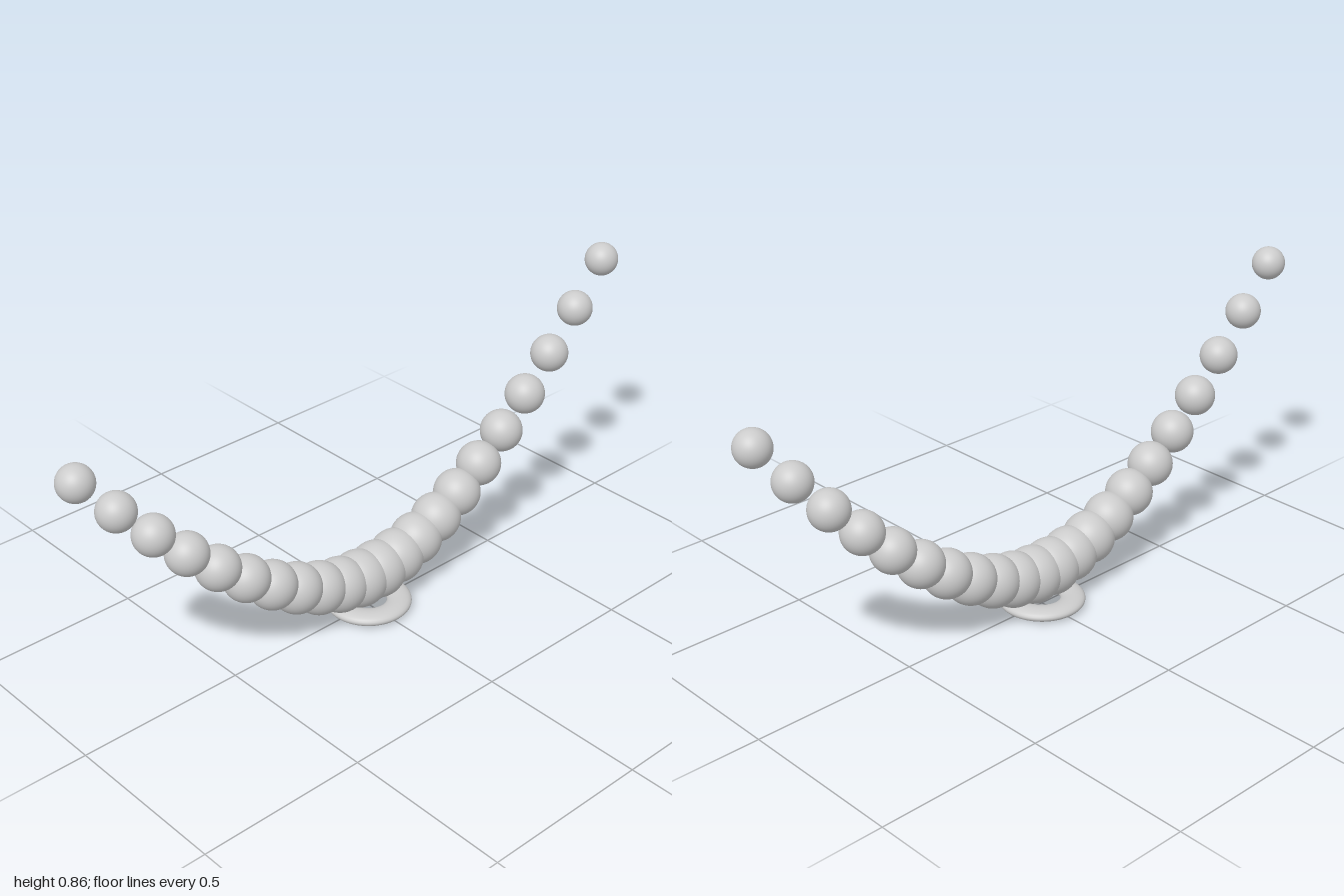
import * as THREE from 'three';

export function createModel() {
  const model = new THREE.Group();
  const material = new THREE.MeshStandardMaterial({ color: 0xcccccc });

  // Curved string of beads: spacing and height grow, radius shrinks outward
  const beads = new THREE.Group();
  beads.name = 'beadString';
  const sphere = new THREE.SphereGeometry(1, 40, 28);
  const count = 11;
  for (const side of [1, -1]) {
    for (let i = 0; i < count; i++) {
      const n = i + 0.5;
      const bead = new THREE.Mesh(sphere, material);
      bead.name = side > 0 ? 'leftBead' : 'rightBead';
      bead.position.set(side * (0.071 * n + 0.00185 * n * n), 0.108 + 0.00635 * n * n, 0);
      bead.scale.setScalar(0.085 - 0.0035 * i);
      beads.add(bead);
    }
  }
  model.add(beads);

  // Flattened ring foot
  const ring = new THREE.TorusGeometry(0.09, 0.0365, 24, 72);
  ring.rotateX(Math.PI / 2);
  ring.scale(1, 0.5, 1);
  const foot = new THREE.Mesh(ring, material);
  foot.name = 'baseRing';
  foot.position.y = 0.01825;
  model.add(foot);

  return model;
}
